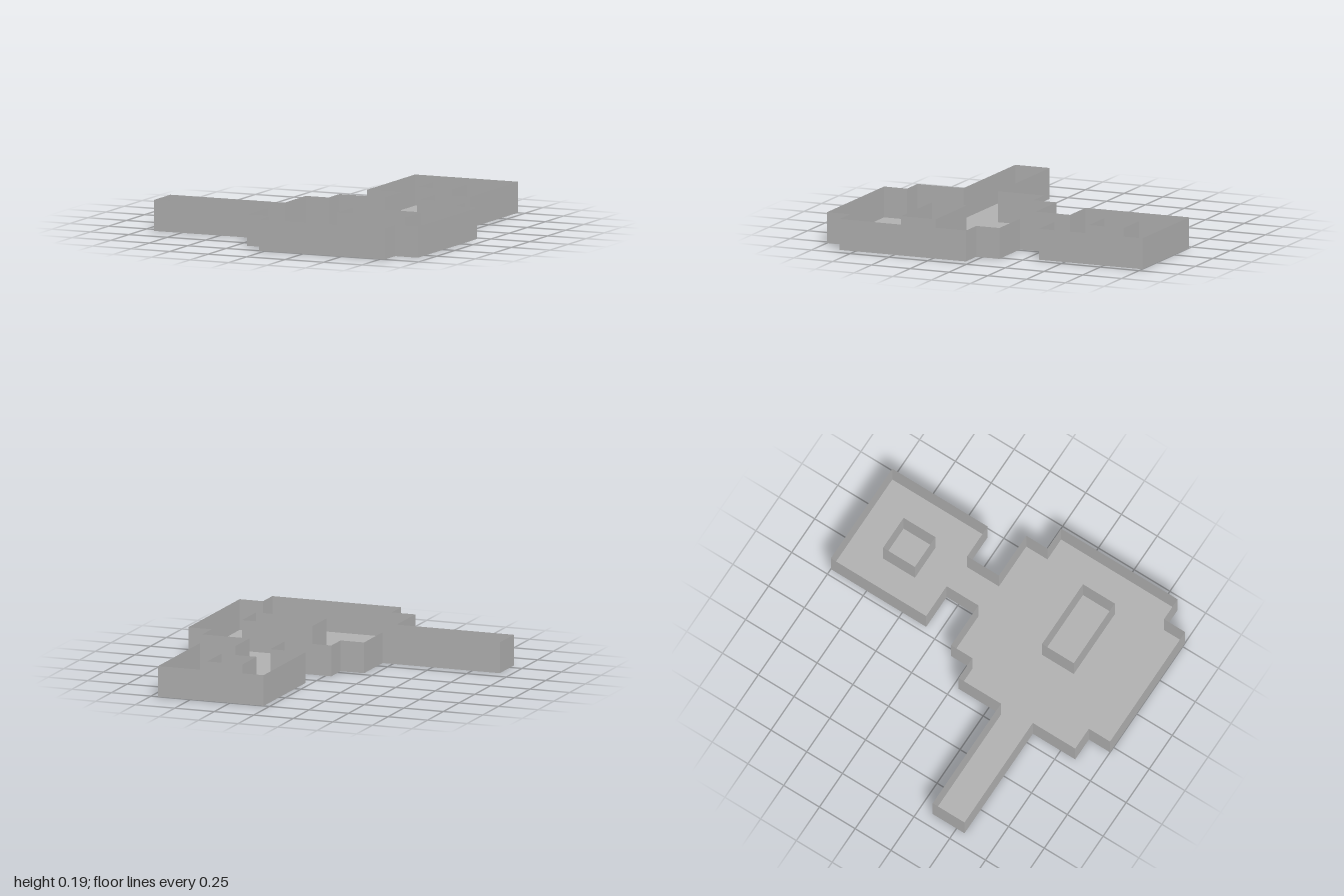
import * as THREE from 'three';
import { mergeGeometries } from 'three/addons/utils/BufferGeometryUtils.js';

const U = 1 / 27;          // plan module
const H = 5 * U;           // wall height

// Plan outline in modules, as [x, z]
const OUTLINE = [
  [1, -27], [19, -27], [19, -9], [13, -9], [13, -3],      // back room and passage
  [21, -3], [21, 1], [25, 1], [25, 23], [21, 23],         // hall, left side
  [21, 27], [-1, 27], [-1, 23], [-5, 23],                 // hall, front
  [-5, 15], [-25, 15], [-25, 9], [-5, 9],                 // side corridor
  [-5, 1], [-1, 1], [-1, -3], [7, -3], [7, -9], [1, -9],  // hall, right side
];

const rect = (x0, z0, x1, z1) => [[x0, z0], [x1, z0], [x1, z1], [x0, z1]];

// One thin upright panel for each edge of a closed plan loop
function wallLoop(points) {
  return mergeGeometries(points.map(([ax, az], i) => {
    const [bx, bz] = points[(i + 1) % points.length];
    const dx = bx - ax, dz = bz - az;
    const panel = new THREE.PlaneGeometry(Math.hypot(dx, dz) * U, H);
    panel.rotateY(Math.atan2(-dz, dx) + Math.PI); // faces outward
    panel.translate((ax + bx) / 2 * U, H / 2, (az + bz) / 2 * U);
    return panel;
  }));
}

export function createModel() {
  const group = new THREE.Group();
  group.name = 'floorPlan';
  const stone = new THREE.MeshStandardMaterial({ color: 0xb0b0b0, side: THREE.DoubleSide });
  stone.name = 'greyStone';

  const add = (name, geometry) => {
    const mesh = new THREE.Mesh(geometry, stone);
    mesh.name = name;
    group.add(mesh);
  };

  // Floor sheet
  const shape = new THREE.Shape(OUTLINE.map(([x, z]) => new THREE.Vector2(x * U, -z * U)));
  add('floor', new THREE.ShapeGeometry(shape).rotateX(-Math.PI / 2));

  // Walls around the plan, and the two open-topped blocks inside
  add('outerWalls', wallLoop(OUTLINE));
  add('hallBlock', wallLoop(rect(7, 9, 19, 15)));
  add('roomBlock', wallLoop(rect(7, -21, 13, -15)));

  return group;
}
